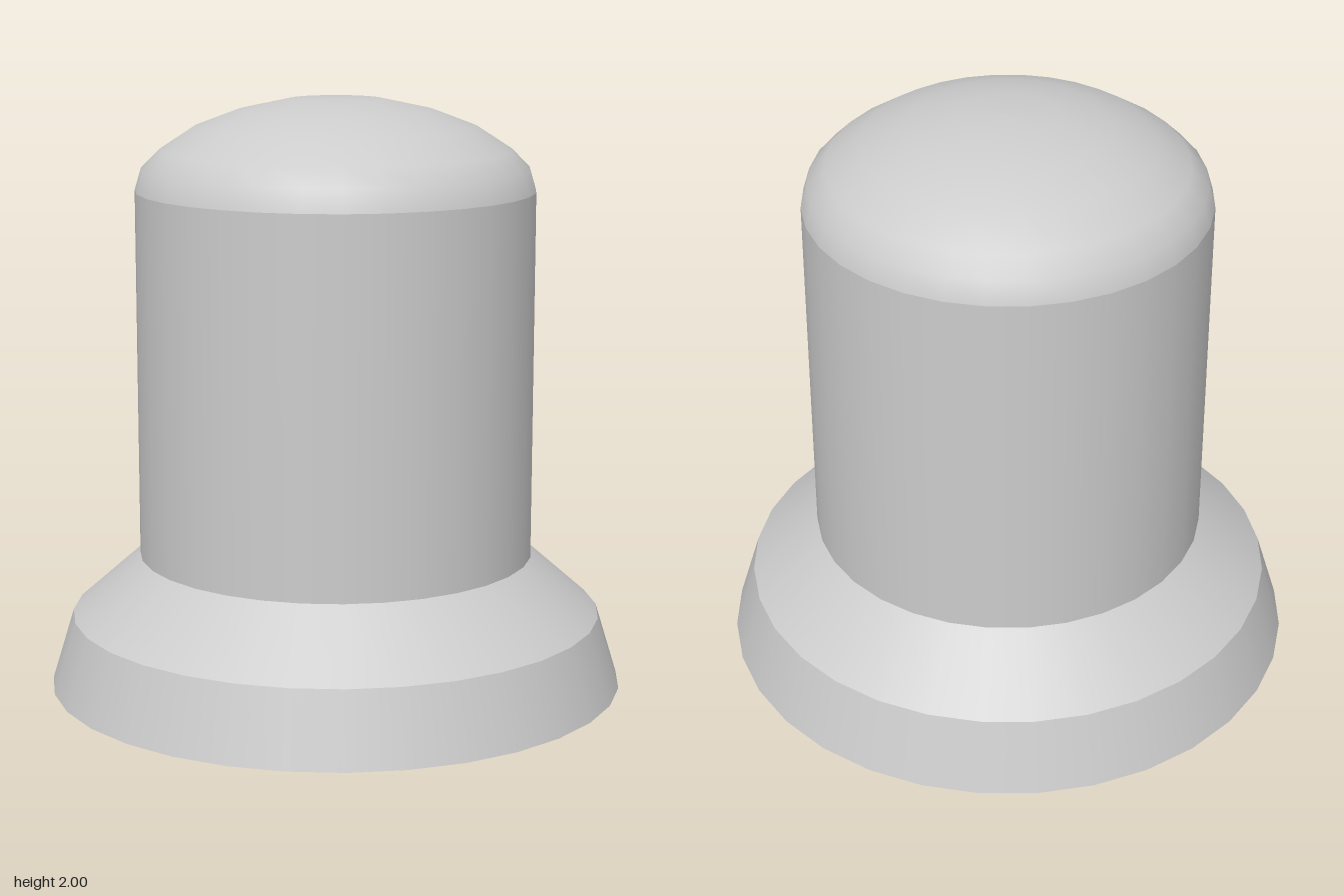
import * as THREE from 'three';

const SIDES = 32;
const material = new THREE.MeshStandardMaterial({ color: 0xcccccc });

// Revolved band, smooth within itself and sharp against its neighbours
function band(name, profile) {
  const points = profile.map(([r, y]) => new THREE.Vector2(r, y));
  const mesh = new THREE.Mesh(new THREE.LatheGeometry(points, SIDES), material);
  mesh.name = name;
  return mesh;
}

export function createModel() {
  const model = new THREE.Group();
  model.name = 'domedPost';

  // Flared foot with a flat underside
  const foot = new THREE.Group();
  foot.name = 'foot';
  foot.add(
    band('footUnderside', [[0, 0], [0.98, 0]]),
    band('footSkirt', [[0.98, 0], [0.905, 0.245]]),
    band('footShoulder', [[0.905, 0.245], [0.672, 0.45]])
  );

  // Upright cylinder and its rounded cap
  const body = band('body', [[0.672, 0.45], [0.672, 1.695]]);
  const dome = band('dome', [
    [0.672, 1.695], [0.65, 1.77], [0.59, 1.83], [0.475, 1.905],
    [0.33, 1.96], [0.16, 1.997], [0, 2]
  ]);

  model.add(foot, body, dome);
  return model;
}
